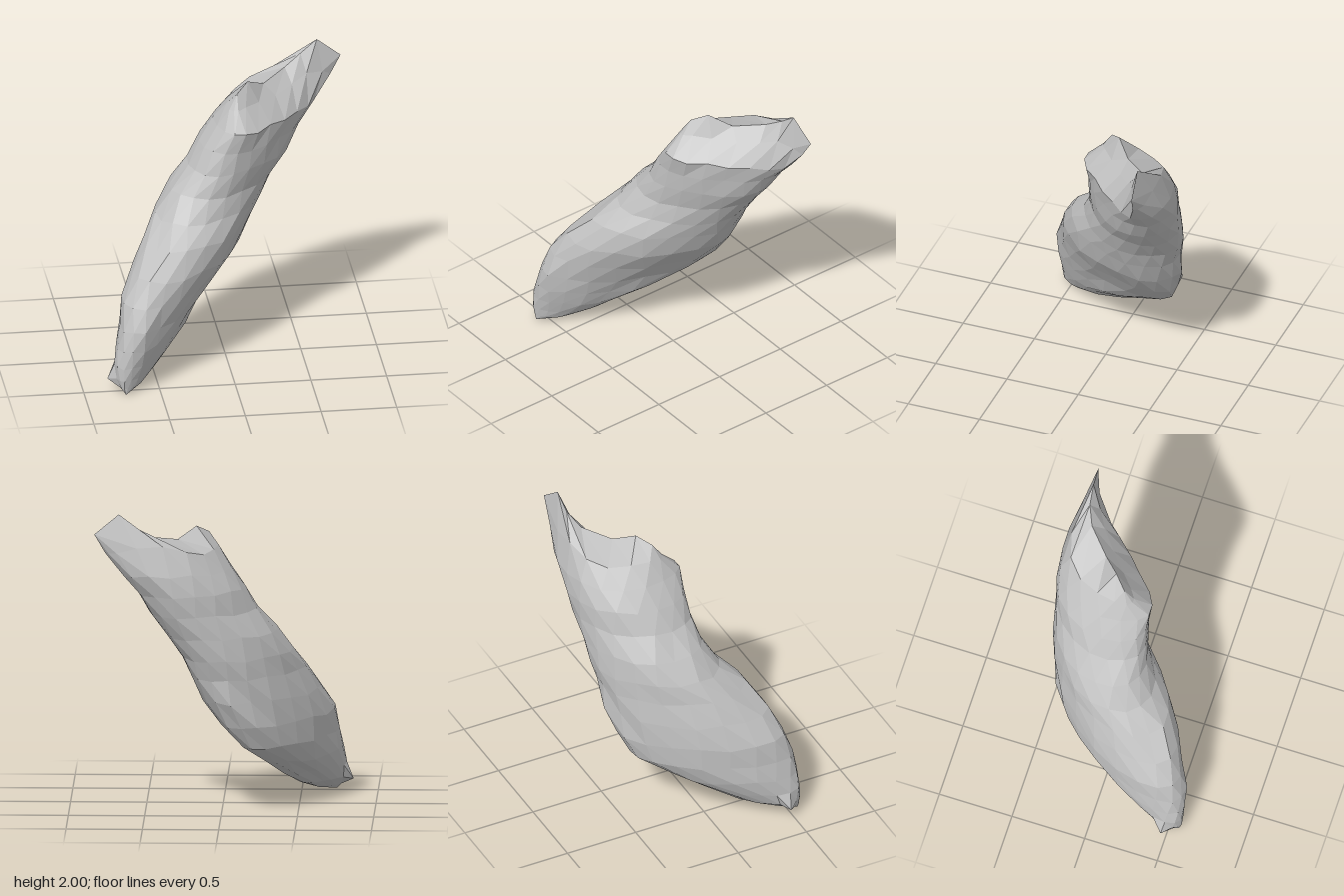
import * as THREE from 'three';

// Horizontal sections: y, xMin, xMax, zMin, zMax,
// skew (cosine of the phase between x and z), bend (shift of the middle to the back)
const SECTIONS = [
  [0.04, -0.76, -0.60, 0.38, 0.575, -0.65, 0],
  [0.10, -0.79, -0.50, 0.20, 0.58, -0.64, 0],
  [0.19, -0.79, -0.38, 0.02, 0.58, -0.64, 0],
  [0.30, -0.78, -0.25, -0.19, 0.585, -0.65, 0],
  [0.43, -0.75, -0.13, -0.38, 0.57, -0.66, 0],
  [0.58, -0.72, 0.00, -0.46, 0.53, -0.62, 0],
  [0.74, -0.64, 0.12, -0.495, 0.46, -0.54, 0],
  [0.90, -0.54, 0.20, -0.515, 0.35, -0.46, 0],
  [1.03, -0.45, 0.26, -0.53, 0.22, -0.38, 0.005],
  [1.18, -0.35, 0.36, -0.54, 0.15, -0.36, 0.02],
  [1.33, -0.22, 0.47, -0.55, 0.125, -0.38, 0.035],
  [1.47, -0.13, 0.56, -0.555, 0.12, -0.41, 0.06],
  [1.60, -0.02, 0.66, -0.56, 0.115, -0.52, 0.08],
];

// Pinched, uneven top edge from the low end to the high end
const CREST = [
  [0.09, 1.82, -0.08], [0.17, 1.87, -0.16], [0.29, 1.80, -0.27], [0.45, 1.84, -0.42],
  [0.56, 1.91, -0.47], [0.67, 2.0, -0.48], [0.83, 1.87, -0.5],
].map((p) => new THREE.Vector3(...p));

const SIDES = 18;
const LONG_AXIS = Math.PI / 6; // turn from the first side to the long end of a section

function makeRandom(seed) {
  return () => {
    seed = (seed * 16807) % 2147483647;
    return seed / 2147483647 - 0.5;
  };
}

// One skewed ellipse; odd rings are turned half a step to give triangular facets
function makeRing([y, x0, x1, z0, z1, skew, bend], index, random) {
  const phase = Math.acos(skew);
  const ring = [];
  for (let j = 0; j < SIDES; j++) {
    const angle = ((j + (index % 2) / 2) / SIDES) * Math.PI * 2;
    const swell = 1.01 + random() * 0.05;
    const shift = bend * Math.sin(angle + LONG_AXIS) ** 2;
    ring.push(new THREE.Vector3(
      (x0 + x1) / 2 + ((x1 - x0) / 2) * Math.cos(angle) * swell - shift,
      y + random() * (index > 1 ? 0.025 : 0.01),
      (z0 + z1) / 2 + ((z1 - z0) / 2) * Math.cos(angle - phase) * swell - shift,
    ));
  }
  return ring;
}

function makeSackGeometry() {
  const random = makeRandom(47);
  const rings = SECTIONS.map((s, i) => makeRing(s, i, random));

  // Small ear beside the bottom tip
  rings[1][SIDES / 2].set(-0.84, 0.08, 0.47);

  // Gather the last section into the crest, flatter in front and fuller behind
  const last = rings[rings.length - 1];
  const crestRing = last.map((_, j) => {
    const along = (1 + Math.cos((j / SIDES) * Math.PI * 2 + LONG_AXIS)) / 2;
    return CREST[Math.round(along * (CREST.length - 1))];
  });
  const neck = last.map((p, j) => {
    const a = p.clone().lerp(last[(j + 1) % SIDES], 0.5);
    const c = crestRing[j].clone().lerp(crestRing[(j + 1) % SIDES], 0.5);
    const angle = ((j + 0.5) / SIDES) * Math.PI * 2 + LONG_AXIS;
    const inward = 0.4 + 0.17 * Math.sin(angle) + 0.18 * Math.abs(Math.cos(angle));
    return new THREE.Vector3(
      THREE.MathUtils.lerp(a.x, c.x, inward),
      THREE.MathUtils.lerp(a.y, c.y, 0.55),
      THREE.MathUtils.lerp(a.z, c.z, inward),
    );
  });
  rings.push(neck, crestRing);

  // Closed bottom tip, then bands of facets
  const positions = [];
  const face = (...points) => points.forEach((p) => positions.push(p.x, p.y, p.z));
  const tip = new THREE.Vector3(-0.73, 0, 0.57);
  for (let j = 0; j < SIDES; j++) face(tip, rings[0][j], rings[0][(j + 1) % SIDES]);
  for (let i = 0; i < rings.length - 1; i++) {
    const low = rings[i];
    const high = rings[i + 1];
    for (let j = 0; j < SIDES; j++) {
      const k = (j + 1) % SIDES;
      if (i % 2 === 0) {
        face(low[j], high[j], low[k]);
        face(low[k], high[j], high[k]);
      } else {
        face(low[j], high[j], high[k]);
        face(low[j], high[k], low[k]);
      }
    }
  }
  const geometry = new THREE.BufferGeometry();
  geometry.setAttribute('position', new THREE.Float32BufferAttribute(positions, 3));
  geometry.computeVertexNormals();
  return geometry;
}

export function createModel() {
  const group = new THREE.Group();
  group.name = 'leaningSack';
  const cloth = new THREE.MeshStandardMaterial({ color: 0xc0c0c0, flatShading: true, side: THREE.DoubleSide });
  cloth.name = 'light grey cloth';
  const sack = new THREE.Mesh(makeSackGeometry(), cloth);
  sack.name = 'sackBody';
  group.add(sack);
  return group;
}
